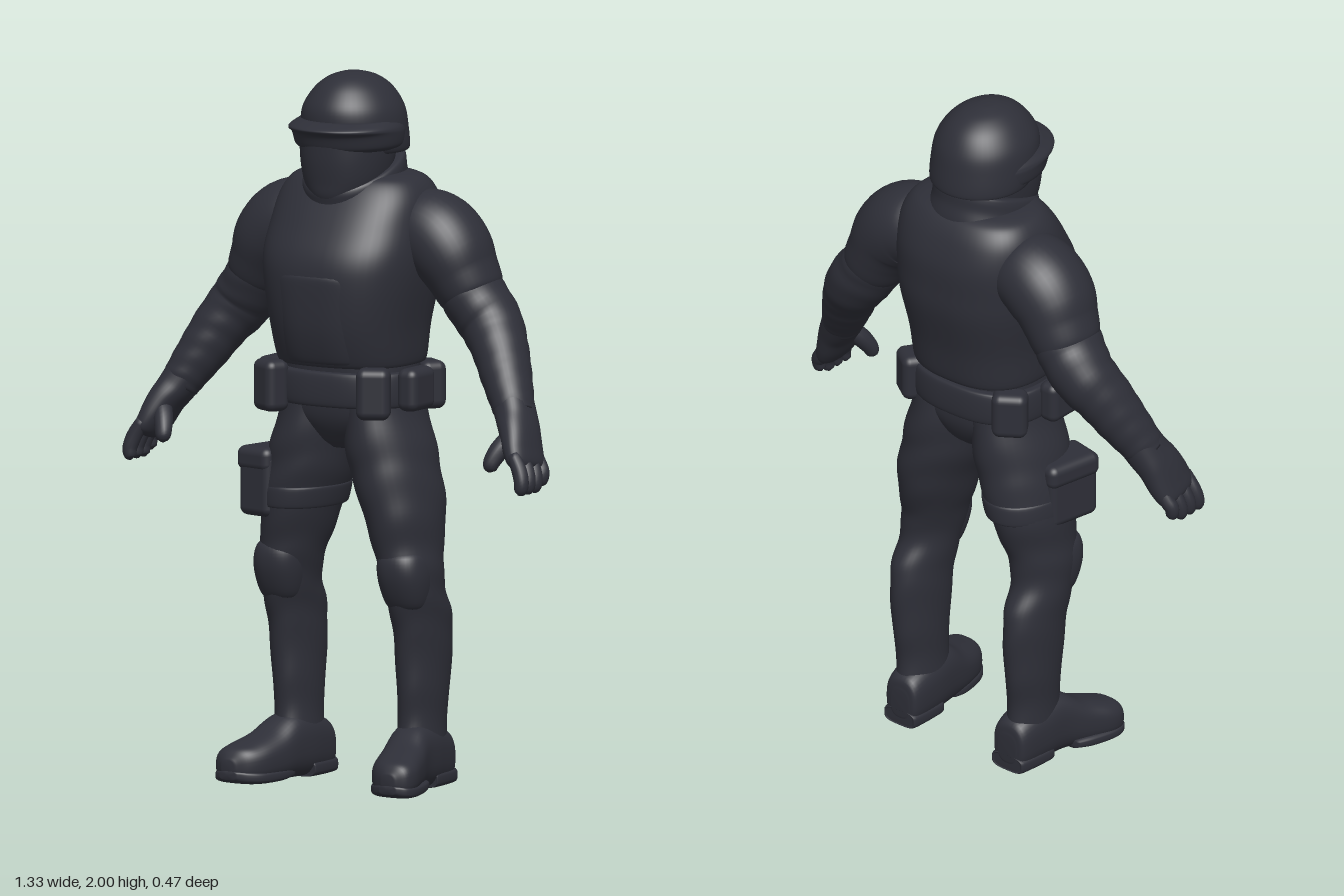
import * as THREE from 'three';
import { RoundedBoxGeometry } from 'three/addons/geometries/RoundedBoxGeometry.js';

const V = (x, y, z) => new THREE.Vector3(x, y, z);
const UP = V(0, 1, 0), FRONT = V(0, 0, 1);

// Smooth skin through cross-sections [x, y, z, radiusU, radiusV].
// axis: fixed section normal, or null to follow the path. ref: direction of radiusV.
function loft(rows, { axis = null, ref = FRONT, power = 2, sides = 40, steps = 6, ripple = 0 } = {}) {
  const path = new THREE.CatmullRomCurve3(rows.map(r => V(r[0], r[1], r[2])), false, 'catmullrom');
  const size = new THREE.CatmullRomCurve3(rows.map(r => V(r[3], r[4], 0)), false, 'catmullrom');
  const count = (rows.length - 1) * steps, pos = [], index = [];
  for (let i = 0; i <= count; i++) {
    const k = i / count, c = path.getPoint(k), r = size.getPoint(k);
    const t = (axis || path.getTangent(k)).clone().normalize();
    const v = ref.clone().addScaledVector(t, -ref.dot(t)).normalize();
    const u = v.clone().cross(t);
    for (let j = 0; j < sides; j++) {
      const a = j / sides * Math.PI * 2, e = 2 / power;
      const fold = 1 + ripple * Math.sin(k * 52 + 1.5 * Math.sin(a * 2));
      const ca = Math.cos(a), sa = Math.sin(a);
      const p = c.clone()
        .addScaledVector(u, Math.sign(ca) * Math.abs(ca) ** e * Math.max(r.x, 0.001) * fold)
        .addScaledVector(v, Math.sign(sa) * Math.abs(sa) ** e * Math.max(r.y, 0.001) * fold);
      pos.push(p.x, p.y, p.z);
    }
  }
  for (let i = 0; i < count; i++) for (let j = 0; j < sides; j++) {
    const a = i * sides + j, b = i * sides + (j + 1) % sides;
    index.push(a, b, b + sides, a, b + sides, a + sides);
  }
  // end caps
  const first = pos.length / 3, last = count * sides;
  const s = path.getPoint(0), e = path.getPoint(1);
  pos.push(s.x, s.y, s.z, e.x, e.y, e.z);
  for (let j = 0; j < sides; j++) {
    const n = (j + 1) % sides;
    index.push(first, n, j, first + 1, last + j, last + n);
  }
  const g = new THREE.BufferGeometry();
  g.setAttribute('position', new THREE.Float32BufferAttribute(pos, 3));
  g.setIndex(index);
  g.computeVertexNormals();
  return g;
}

export function createModel() {
  const model = new THREE.Group();
  model.name = 'armouredOfficer';
  const cloth = new THREE.MeshStandardMaterial({ color: 0x2e2f38 });
  cloth.name = 'charcoal';

  const add = (name, geometry, x = 0, y = 0, z = 0, ry = 0) => {
    const m = new THREE.Mesh(geometry, cloth);
    m.name = name;
    m.position.set(x, y, z);
    m.rotation.y = ry;
    model.add(m);
  };
  // horizontal sections on the centre line: [y, z, radiusX, radiusZ]
  const stack = (name, rows, power = 2, axis = UP) =>
    add(name, loft(rows.map(([y, z, rx, rz]) => [0, y, z, rx, rz]), { axis, power, sides: 56 }));
  const box = (name, w, h, d, x, y, z, ry = 0) =>
    add(name, new RoundedBoxGeometry(w, h, d, 4, 0.024), x, y, z, ry);

  // Head
  stack('helmet', [[1.775, -0.04, 0.125, 0.125], [1.785, -0.03, 0.142, 0.145], [1.84, -0.012, 0.146, 0.158],
    [1.9, -0.005, 0.138, 0.153], [1.95, -0.005, 0.108, 0.124], [1.982, -0.003, 0.07, 0.083],
    [1.997, 0, 0.03, 0.035], [2, 0, 0.004, 0.004]]);
  stack('visorBand', [[1.79, 0.01, 0.135, 0.145], [1.802, 0.014, 0.15, 0.15], [1.835, 0.02, 0.156, 0.157],
    [1.848, 0.03, 0.156, 0.17], [1.858, 0.028, 0.151, 0.168], [1.872, 0.008, 0.138, 0.148]], 2.1);
  stack('faceShield', [[1.62, 0.04, 0.06, 0.085], [1.66, 0.035, 0.088, 0.113], [1.7, 0.03, 0.112, 0.125],
    [1.76, 0.025, 0.124, 0.138], [1.83, 0.02, 0.128, 0.146]], 2.2);
  stack('collar', [[1.6, -0.02, 0.175, 0.165], [1.645, -0.018, 0.155, 0.168], [1.69, -0.012, 0.14, 0.164],
    [1.722, -0.008, 0.137, 0.166], [1.738, -0.008, 0.13, 0.16], [1.741, -0.008, 0.112, 0.135]], 2.1, V(0, 1, 0.36));

  // Torso
  stack('vest', [[1.19, 0, 0.185, 0.165], [1.2, 0.002, 0.2, 0.184], [1.3, 0.01, 0.212, 0.209],
    [1.42, 0.003, 0.232, 0.229], [1.5, -0.004, 0.238, 0.227], [1.58, -0.024, 0.234, 0.206],
    [1.65, -0.036, 0.224, 0.174], [1.695, -0.04, 0.2, 0.143], [1.715, -0.04, 0.165, 0.115],
    [1.725, -0.04, 0.1, 0.08]], 2.5);
  stack('bellyPlate', [[1.2, 0.05, 0.13, 0.13], [1.21, 0.05, 0.145, 0.149], [1.3, 0.05, 0.155, 0.175],
    [1.42, 0.05, 0.175, 0.185], [1.455, 0.05, 0.172, 0.178], [1.475, 0.05, 0.15, 0.15]], 2.8);
  stack('hips', [[0.95, -0.01, 0.05, 0.08], [0.98, -0.008, 0.1, 0.115], [1.04, -0.004, 0.185, 0.145],
    [1.12, 0, 0.194, 0.152], [1.22, 0, 0.19, 0.16]], 2.3);

  // Belt
  stack('belt', [[1.075, 0, 0.195, 0.155], [1.082, 0, 0.21, 0.17], [1.125, 0, 0.214, 0.174],
    [1.168, 0, 0.21, 0.17], [1.175, 0, 0.195, 0.155]], 2.5);

  for (const s of [1, -1]) {
    const side = s > 0 ? 'left' : 'right';
    const part = (name, rows, opts) =>
      add(side + name, loft(rows.map(([x, ...rest]) => [x * s, ...rest]), opts));

    // Belt pouches
    box(side + 'FrontPouch', 0.095, 0.145, 0.075, 0.168 * s, 1.125, 0.158, 0.45 * s);
    box(side + 'SidePouch', 0.064, 0.12, 0.12, 0.23 * s, 1.13, 0.035);
    box(side + 'BackPouch', 0.1, 0.135, 0.075, 0.178 * s, 1.122, -0.115, -0.6 * s);

    // Arm
    part('UpperSleeve', [[0.13, 1.57, -0.06, 0.08, 0.09], [0.18, 1.565, -0.06, 0.112, 0.116],
      [0.24, 1.55, -0.06, 0.12, 0.126], [0.288, 1.505, -0.06, 0.116, 0.125], [0.32, 1.45, -0.065, 0.1, 0.115],
      [0.348, 1.395, -0.07, 0.09, 0.102], [0.36, 1.375, -0.07, 0.07, 0.08]]);
    part('LowerSleeve', [[0.315, 1.455, -0.065, 0.08, 0.1], [0.355, 1.385, -0.07, 0.088, 0.102],
      [0.407, 1.315, -0.072, 0.088, 0.093], [0.455, 1.25, -0.045, 0.078, 0.084], [0.495, 1.18, -0.015, 0.07, 0.076],
      [0.532, 1.115, 0.014, 0.06, 0.066], [0.55, 1.08, 0.027, 0.054, 0.06]], { ripple: 0.012 });

    // Gloved hand
    part('Glove', [[0.53, 1.12, 0.012, 0.055, 0.062], [0.556, 1.075, 0.03, 0.051, 0.064],
      [0.58, 1.035, 0.05, 0.045, 0.07], [0.602, 0.985, 0.068, 0.039, 0.074],
      [0.619, 0.95, 0.079, 0.031, 0.068], [0.624, 0.938, 0.082, 0.015, 0.04]], { power: 2.3 });
    for (let i = 0; i < 4; i++) {
      const z = 0.02 + i * 0.036, drop = i === 0 ? 0.015 : 0;
      part('Finger' + (i + 1), [[0.607, 0.985, z, 0.019, 0.018], [0.63, 0.945, z + 0.006, 0.022, 0.02],
        [0.642, 0.91 + drop, z + 0.012, 0.021, 0.02], [0.64, 0.885 + drop, z + 0.015, 0.017, 0.016],
        [0.637, 0.875 + drop, z + 0.016, 0.004, 0.004]], { sides: 14, steps: 4 });
    }
    part('Thumb', [[0.58, 1.04, 0.07, 0.024, 0.026], [0.555, 1.0, 0.105, 0.028, 0.027],
      [0.54, 0.965, 0.128, 0.025, 0.023], [0.536, 0.942, 0.137, 0.019, 0.018],
      [0.535, 0.932, 0.14, 0.005, 0.005]], { sides: 14, steps: 4 });

    // Leg
    part('Trouser', [[0.094, 1.16, 0, 0.09, 0.14], [0.104, 1.06, -0.005, 0.1, 0.15], [0.122, 0.96, -0.005, 0.115, 0.153],
      [0.14, 0.88, -0.005, 0.115, 0.15], [0.165, 0.79, -0.005, 0.106, 0.145], [0.18, 0.7, 0, 0.092, 0.125],
      [0.195, 0.63, 0.006, 0.083, 0.112], [0.202, 0.56, -0.003, 0.075, 0.106], [0.205, 0.49, -0.03, 0.07, 0.116],
      [0.205, 0.41, -0.043, 0.066, 0.11], [0.204, 0.3, -0.045, 0.062, 0.102], [0.202, 0.2, -0.043, 0.057, 0.09],
      [0.2, 0.1, -0.04, 0.06, 0.1]], { axis: V(0, -1, 0), ripple: 0.012 });
    part('KneePad', [[0.205, 0.5, 0.03, 0.03, 0.03], [0.205, 0.525, 0.04, 0.058, 0.056],
      [0.203, 0.6, 0.05, 0.073, 0.074], [0.2, 0.66, 0.052, 0.066, 0.068], [0.2, 0.685, 0.045, 0.035, 0.035]],
      { axis: UP, power: 2.3 });

    // Boot, turned slightly outward
    const boot = { axis: FRONT, ref: UP, power: 2.6 };
    part('Boot', [[0.195, 0.07, -0.15, 0.03, 0.04], [0.196, 0.078, -0.135, 0.056, 0.074],
      [0.2, 0.092, -0.05, 0.066, 0.09], [0.208, 0.093, 0.03, 0.067, 0.09], [0.225, 0.072, 0.1, 0.073, 0.07],
      [0.246, 0.06, 0.17, 0.074, 0.057], [0.258, 0.055, 0.213, 0.056, 0.047], [0.262, 0.052, 0.235, 0.02, 0.02]], boot);
    part('Heel', [[0.196, 0.025, -0.148, 0.045, 0.02], [0.196, 0.025, -0.14, 0.058, 0.025],
      [0.2, 0.025, -0.035, 0.064, 0.025], [0.201, 0.025, -0.025, 0.055, 0.02]], { ...boot, power: 3.4 });
    part('Sole', [[0.22, 0.025, 0.05, 0.064, 0.015], [0.23, 0.023, 0.1, 0.075, 0.02],
      [0.247, 0.022, 0.175, 0.075, 0.02], [0.258, 0.025, 0.215, 0.057, 0.018],
      [0.262, 0.03, 0.236, 0.025, 0.012]], { ...boot, power: 3.4 });
  }

  // Thigh rig on the right leg
  box('thighPouch', 0.12, 0.18, 0.17, -0.228, 0.835, 0.05, -0.2);
  box('thighPouchFlap', 0.124, 0.07, 0.176, -0.232, 0.905, 0.05, -0.2);
  add('thighStrap', loft([[-0.16, 0.775, -0.005, 0.1, 0.14], [-0.16, 0.782, -0.005, 0.11, 0.15],
    [-0.152, 0.83, -0.005, 0.114, 0.152], [-0.15, 0.837, -0.005, 0.105, 0.14]], { axis: UP }));

  return model;
}
